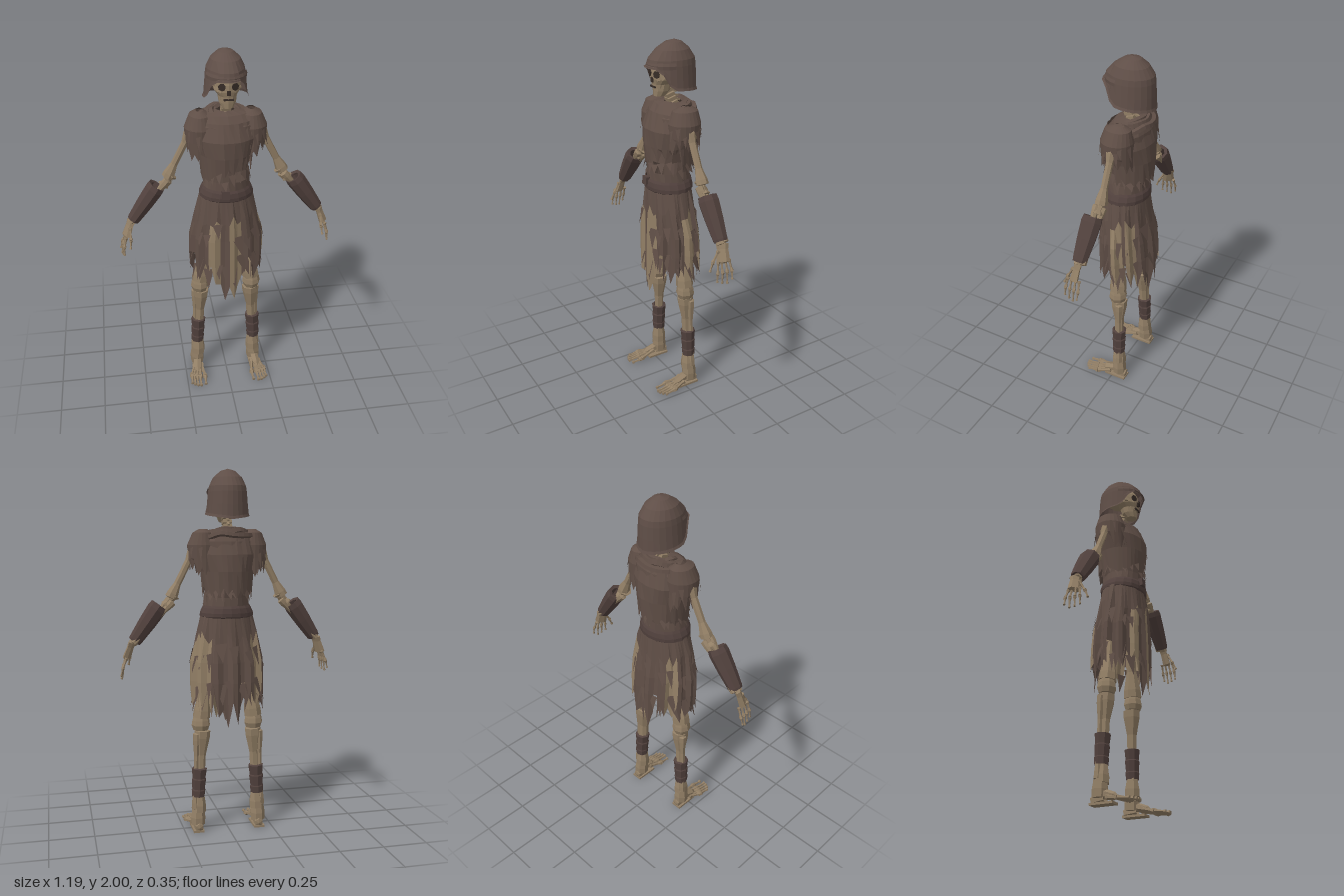
import * as THREE from 'three';

const V = (x, y, z) => new THREE.Vector3(x, y, z);
const mat = (name, color) => Object.assign(new THREE.MeshStandardMaterial({ color, side: THREE.DoubleSide }), { name });

export function createModel() {
  const cloth = mat('brown cloth', 0x5f4e46), bone = mat('old bone', 0x917e65);
  const leather = mat('dark leather', 0x51413d), metal = mat('helmet brown', 0x5f4e47);
  const dark = mat('hollow dark', 0x362c27);
  const model = new THREE.Group();
  let seed = 7;
  const rnd = () => (seed = (seed * 16807) % 2147483647) / 2147483647;

  // Adds a mesh with faceted normals
  function add(name, geo, material, parent = model) {
    const g = geo.index ? geo.toNonIndexed() : geo;
    g.computeVertexNormals();
    const m = new THREE.Mesh(g, material);
    m.name = name;
    parent.add(m);
    return m;
  }

  // Skin over elliptical rings listed from top to bottom: [y, rx, rz, cz]
  function loft(name, rows, mats, { cx = 0, n = 20, tweak, pick } = {}) {
    const rings = rows.map(([y, rx, rz, cz], i) => Array.from({ length: n }, (_, j) => {
      let a = (j / n) * Math.PI * 2;
      if (a > Math.PI) a -= Math.PI * 2;
      const p = V(cx + rx * Math.sin(a), y, cz + rz * Math.cos(a));
      if (tweak) tweak(p, i, j, a);
      return p;
    }));
    const parts = mats.map(() => []);
    for (let i = 0; i < rows.length - 1; i++) for (let j = 0; j < n; j++) {
      let mid = ((j + 0.5) / n) * Math.PI * 2;
      if (mid > Math.PI) mid -= Math.PI * 2;
      const k = pick ? pick(i, j, mid) : 0;
      if (k < 0) continue;
      const q = (j + 1) % n, a = rings[i][j], b = rings[i][q], c = rings[i + 1][q], d = rings[i + 1][j];
      for (const p of [a, d, c, a, c, b]) parts[k].push(p.x, p.y, p.z);
    }
    const g = new THREE.BufferGeometry();
    g.setAttribute('position', new THREE.Float32BufferAttribute(parts.flat(), 3));
    let start = 0;
    parts.forEach((p, k) => { g.addGroup(start, p.length / 3, k); start += p.length / 3; });
    return add(name, g, mats.length > 1 ? mats : mats[0]);
  }

  // Turned piece between two points; profile is [radius, fraction] pairs
  function turned(name, a, b, profile, material, sides = 7, flat = 1) {
    const len = a.distanceTo(b);
    const g = new THREE.LatheGeometry(profile.map(([r, t]) => new THREE.Vector2(r, t * len)), sides);
    g.scale(1, 1, flat);
    const m = add(name, g, material);
    m.position.copy(a);
    m.quaternion.setFromUnitVectors(V(0, 1, 0), b.clone().sub(a).normalize());
    return m;
  }
  const longBone = (name, a, b, r, r2 = r, sides = 7, flat = 1) => turned(name, a, b,
    [[0, 0], [r * 1.3, 0.02], [r * 1.25, 0.1], [r * 0.8, 0.25], [r2 * 0.75, 0.7], [r2 * 1.25, 0.9], [r2 * 1.3, 0.98], [0, 1]], bone, sides, flat);
  const box = (name, w, h, d, x, y, z, material, rx = 0) => {
    const m = add(name, new THREE.BoxGeometry(w, h, d), material);
    m.position.set(x, y, z);
    m.rotation.x = rx;
    return m;
  };

  // Hanging torn strips around an ellipse
  function shreds(name, count, cx, cz, rx, rz, yLo, yHi, len) {
    const pos = [];
    for (let i = 0; i < count; i++) {
      const a = ((i + rnd() * 0.7) / count) * Math.PI * 2, w = 0.1 + rnd() * 0.1, y = yLo + rnd() * (yHi - yLo);
      const at = (t, f, h) => pos.push(cx + rx * f * Math.sin(t), h, cz + rz * f * Math.cos(t));
      at(a - w, 0.98, y); at(a + w * 0.4, 1.1, y - len * (0.6 + rnd() * 0.5)); at(a + w, 0.98, y + 0.01);
    }
    const g = new THREE.BufferGeometry();
    g.setAttribute('position', new THREE.Float32BufferAttribute(pos, 3));
    add(name, g, cloth);
  }

  // Helmet with a raised brow and deep sides and neck guard
  const rim = a => {
    const t = THREE.MathUtils.clamp((Math.abs(a) - 0.65) / 0.5, 0, 1);
    return 1.87 - 0.105 * t - 0.03 * Math.max(0, (Math.abs(a) - 1.15) / 2);
  };
  loft('helmet', [[2, 0.001, 0.001, -0.035], [1.988, 0.04, 0.045, -0.03], [1.955, 0.077, 0.09, -0.025], [1.91, 0.098, 0.12, -0.025],
    [1.88, 0.103, 0.127, -0.023], [0.5, 0.108, 0.13, -0.023], [0.9, 0.113, 0.131, -0.023], [1, 0.119, 0.137, -0.021]], [metal], {
    n: 24,
    tweak: (p, i, j, a) => {
      if (i > 4) p.y = THREE.MathUtils.lerp(1.885, rim(a), p.y);
      if (i > 2 && Math.abs(a) < 0.6) p.z += 0.012;
    },
  });
  loft('helmetBand', [[1.9, 0.103, 0.129, -0.02], [1.885, 0.109, 0.136, -0.02], [1.868, 0.108, 0.135, -0.02]], [metal],
    { n: 24, pick: (i, j, a) => (Math.abs(a) < 1.2 ? 0 : -1) });

  // Skull
  loft('skull', [[1.95, 0.001, 0.001, 0], [1.93, 0.05, 0.06, -0.01], [1.87, 0.077, 0.095, -0.005], [1.845, 0.075, 0.095, 0],
    [1.81, 0.066, 0.06, 0.035], [1.785, 0.045, 0.045, 0.045], [1.765, 0.04, 0.04, 0.05], [1.765, 0.001, 0.001, 0.03]], [bone], { n: 12 });
  loft('jaw', [[1.785, 0.05, 0.05, 0.035], [1.75, 0.045, 0.045, 0.04], [1.722, 0.03, 0.032, 0.052], [1.718, 0.001, 0.001, 0.05]], [bone], { n: 10 });
  box('mouthLine', 0.05, 0.008, 0.008, 0, 1.772, 0.09, dark);
  box('noseHole', 0.018, 0.025, 0.008, 0, 1.808, 0.094, dark);
  for (const s of [1, -1]) {
    const eye = add('eyeSocket', new THREE.CylinderGeometry(0.02, 0.018, 0.008, 7), dark);
    eye.position.set(s * 0.033, 1.838, 0.087);
    eye.rotation.set(Math.PI / 2, 0, -s * 0.35);
    turned('cheekbone', V(s * 0.025, 1.808, 0.085), V(s * 0.07, 1.825, 0.04), [[0, 0], [0.01, 0.1], [0.008, 0.9], [0, 1]], bone, 5);
  }

  // Neck and spine
  for (let i = 0; i < 6; i++) {
    const y = 1.745 - i * 0.024, z = 0.005 - i * 0.01;
    box('neckVertebra', 0.048, 0.019, 0.045, 0, y, z, bone, 0.3);
    box('neckSpur', 0.012, 0.01, 0.04, 0, y - 0.008, z - 0.035, bone, -0.35);
  }
  turned('spine', V(0, 1.2, -0.04), V(0, 1.62, -0.05), [[0.03, 0], [0.022, 0.3], [0.03, 0.6], [0.022, 1]], bone);

  // Tunic with torn holes on its lower front
  loft('tunic', [[1.685, 0.05, 0.05, -0.035], [1.67, 0.125, 0.08, -0.025], [1.62, 0.165, 0.11, -0.015], [1.52, 0.16, 0.128, -0.01],
    [1.43, 0.128, 0.125, -0.01], [1.38, 0.12, 0.12, -0.005], [1.32, 0.12, 0.115, 0], [1.22, 0.135, 0.11, 0]], [cloth], {
    n: 22,
    tweak: p => { p.x += (rnd() - 0.5) * 0.012; p.z += (rnd() - 0.5) * 0.012; },
    pick: (i, j, a) => (i === 5 && ((a > 0.28 && a < 0.9) || (a > 1.9 && a < 2.1)) ? -1 : 0),
  });
  // Upper layer with a slanting torn hem
  loft('tornOverTunic', [[1.64, 0.15, 0.105, -0.015], [1.55, 0.17, 0.137, -0.01], [1.46, 0.146, 0.138, -0.012], [1.38, 0.135, 0.133, -0.012]], [cloth], {
    n: 36,
    tweak: (p, i, j, a) => {
      if (i === 3) p.y += (p.z > 0 ? 0.45 * p.x : -0.03) + (j % 2 ? -0.04 : 0.03) * rnd();
      p.z += (rnd() - 0.5) * 0.008;
    },
  });
  shreds('waistTatters', 22, 0, -0.005, 0.124, 0.128, 1.32, 1.38, 0.06);

  // Draped scarf folds
  for (const [rx, rz, yF, yB, r] of [[0.1, 0.085, 1.585, 1.675, 0.02], [0.135, 0.112, 1.545, 1.655, 0.016], [0.075, 0.07, 1.63, 1.68, 0.017]]) {
    const pts = Array.from({ length: 14 }, (_, i) => {
      const a = (i / 14) * Math.PI * 2, f = (1 + Math.cos(a)) / 2;
      return V(rx * Math.sin(a), yB + (yF - yB) * f * f + (rnd() - 0.5) * 0.015, -0.02 + rz * Math.cos(a));
    });
    add('scarfFold', new THREE.TubeGeometry(new THREE.CatmullRomCurve3(pts, true), 28, r, 5, true), cloth);
  }

  // Belt
  loft('belt', [[1.275, 0.127, 0.118, 0], [1.262, 0.135, 0.125, 0], [1.235, 0.147, 0.128, 0], [1.215, 0.148, 0.126, 0], [1.205, 0.138, 0.114, 0]], [leather], { n: 18 });
  box('beltKnot', 0.04, 0.045, 0.025, -0.02, 1.26, 0.125, leather, -0.1);

  // Ragged skirt with bleached panels
  const pale = [-0.45, 0.2, 1.7, 2.35, -2.35];
  const hemDrop = a => (Math.abs(a) < 0.35 ? 0.1 : 0) + (Math.abs(a) > 2.8 ? 0.06 : 0);
  loft('skirt', [[1.235, 0.142, 0.115, 0], [1.1, 0.172, 0.128, 0], [0.97, 0.198, 0.138, -0.008], [0.86, 0.2, 0.145, -0.012], [0.76, 0.195, 0.148, -0.014]],
    [cloth, bone], {
      n: 48,
      tweak: (p, i, j, a) => {
        const fold = 1 + (j % 4 < 2 ? 0.025 : -0.035) * Math.min(i, 2);
        p.x *= fold; p.z *= fold;
        if (i === 1) p.y += (rnd() - 0.5) * 0.08;
        if (i === 4) p.y += (j % 2 ? -0.09 : 0.06) * rnd() - hemDrop(a);
      },
      pick: (i, j, a) => (i > 0 && i < 4 && pale.some(c => Math.abs(a - c) < 0.2) ? 1 : i === 3 && j % 11 === 4 ? -1 : 0),
    });
  shreds('upperSkirtTatters', 16, 0, -0.005, 0.195, 0.142, 0.99, 1.08, 0.11);
  shreds('lowerSkirtTatters', 26, 0, -0.012, 0.192, 0.143, 0.78, 0.88, 0.11);

  for (const s of [1, -1]) {
    const P = (x, y, z) => V(s * x, y, z);

    // Torn shoulder sleeve
    loft('shoulderSleeve', [[1.685, 0.02, 0.03, -0.025], [1.665, 0.055, 0.07, -0.02], [1.6, 0.083, 0.088, -0.015], [1.53, 0.08, 0.085, -0.015], [1.47, 0.068, 0.085, -0.015]], [cloth], {
      cx: s * 0.135, n: 22,
      tweak: (p, i, j) => { if (i === 4) p.y += (j % 2 ? -0.05 : 0.05) * rnd(); },
    });
    shreds('sleeveTatters', 12, s * 0.135, -0.015, 0.082, 0.09, 1.52, 1.6, 0.08);

    // Arm
    longBone('upperArm', P(0.18, 1.58, -0.015), P(0.315, 1.315, -0.015), 0.025, 0.026);
    longBone('elbow', P(0.29, 1.335, -0.015), P(0.34, 1.275, -0.01), 0.026, 0.024);
    longBone('radius', P(0.31, 1.315, 0.005), P(0.525, 1.07, 0.005), 0.018);
    longBone('ulna', P(0.3, 1.3, -0.025), P(0.52, 1.075, -0.02), 0.016);
    turned('armGuard', P(0.372, 1.28, -0.005), P(0.51, 1.085, 0), [[0.03, 0.02], [0.048, 0], [0.052, 0.12], [0.047, 0.5], [0.037, 0.95], [0.034, 1], [0.02, 0.98]], leather, 8, 1.08);

    // Hand
    turned('palm', P(0.52, 1.085, 0), P(0.556, 0.985, 0.012), [[0, 0], [0.017, 0.05], [0.015, 0.3], [0.018, 0.9], [0, 1]], bone, 6, 1.9);
    for (let i = 0; i < 4; i++) {
      const z = -0.022 + i * 0.022, k = V(s * 0.553, 1.0, z), m = P(0.576 - i * 0.003, 0.945, z * 1.2);
      longBone('fingerBase', k, m, 0.008, 0.007, 5);
      longBone('fingerTip', m, P(0.588 - i * 0.006, [0.9, 0.88, 0.885, 0.895][i], z * 1.2 + 0.004), 0.007, 0.005, 5);
    }
    longBone('thumbBase', P(0.53, 1.05, 0.025), P(0.53, 0.99, 0.06), 0.009, 0.008, 5);
    longBone('thumbTip', P(0.53, 0.99, 0.06), P(0.535, 0.945, 0.08), 0.008, 0.006, 5);

    // Leg
    longBone('thigh', P(0.085, 1.16, -0.015), P(0.15, 0.64, -0.02), 0.035, 0.038);
    turned('knee', P(0.152, 0.575, -0.022), P(0.15, 0.685, -0.02), [[0, 0], [0.042, 0.05], [0.052, 0.3], [0.048, 0.55], [0.034, 1]], bone, 8);
    longBone('shin', P(0.17, 0.1, -0.035), P(0.145, 0.585, -0.025), 0.032, 0.036, 7);
    longBone('calfBone', P(0.19, 0.12, -0.045), P(0.178, 0.57, -0.04), 0.017, 0.018, 6);
    turned('shinWrap', P(0.171, 0.2, -0.036), P(0.163, 0.365, -0.034), [[0.036, 0], [0.039, 0.22], [0.036, 0.26], [0.041, 0.6], [0.037, 0.64], [0.043, 0.97], [0.03, 1]], leather, 8);

    // Foot
    turned('ankle', P(0.175, 0.03, -0.04), P(0.173, 0.15, -0.036), [[0, 0], [0.04, 0.05], [0.042, 0.4], [0.036, 0.8], [0, 1]], bone, 7);
    turned('heel', P(0.172, 0.026, -0.088), P(0.175, 0.035, -0.01), [[0, 0], [0.024, 0.08], [0.026, 0.5], [0.024, 1]], bone, 6);
    turned('instep', P(0.174, 0.062, -0.03), P(0.183, 0.026, 0.075), [[0.022, 0], [0.026, 0.3], [0.024, 0.7], [0, 1]], bone, 6, 0.9);
    for (let i = 0; i < 5; i++) {
      const x = [0.143, 0.172, 0.19, 0.207, 0.222][i], end = [0.168, 0.178, 0.175, 0.165, 0.15][i];
      const root = P(0.157 + i * 0.01, 0.045 - i * 0.003, 0.01), joint = P(x, 0.02, 0.105 - i * 0.005);
      longBone('footBone', root, joint, 0.012, 0.011, 5);
      longBone('toe', joint, P(x + 0.003, 0.012, end), 0.011, 0.008, 5);
    }
    box('sole', 0.06, 0.012, 0.13, s * 0.175, 0.006, -0.02, bone);
  }
  return model;
}
